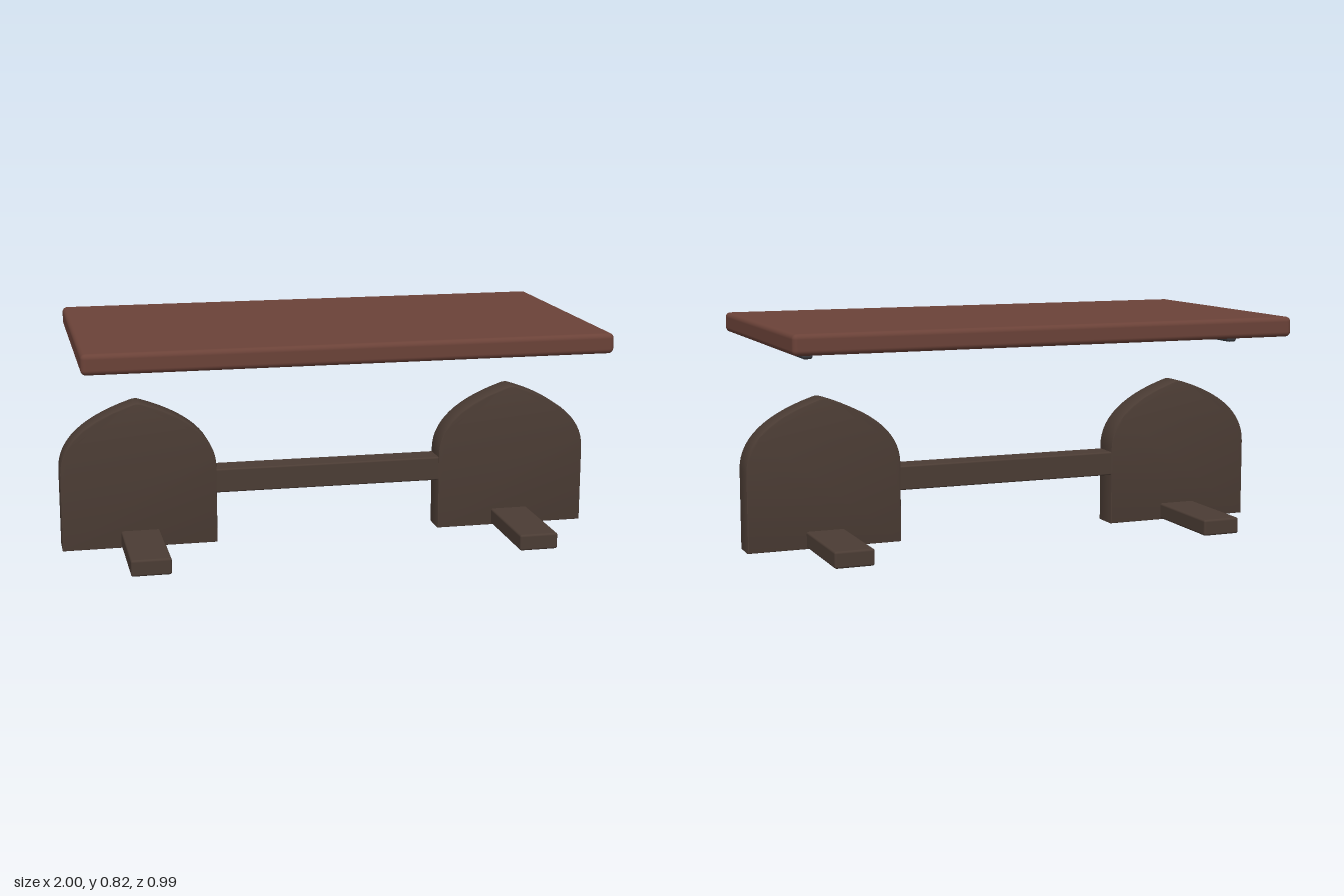
import * as THREE from 'three';
import { RoundedBoxGeometry } from 'three/addons/geometries/RoundedBoxGeometry.js';
import { toCreasedNormals } from 'three/addons/utils/BufferGeometryUtils.js';

const wood = new THREE.MeshStandardMaterial({ color: 0x6b4238 });
const darkWood = new THREE.MeshStandardMaterial({ color: 0x4b3c34 });
const metal = new THREE.MeshStandardMaterial({ color: 0x3c3d42 });

export function createModel() {
  const group = new THREE.Group();

  const add = (name, geometry, material, x, y, z) => {
    const mesh = new THREE.Mesh(geometry, material);
    mesh.name = name;
    mesh.position.set(x, y, z);
    group.add(mesh);
  };
  const box = (name, material, w, h, d, r, x, y) =>
    add(name, new RoundedBoxGeometry(w, h, d, 3, r), material, x, y, 0);

  // Table top and the long rail joining the two uprights
  box('tableTop', wood, 1.88, 0.073, 0.994, 0.018, 0, 0.782);
  box('stretcher', darkWood, 0.9, 0.09, 0.1, 0.006, 0, 0.235);

  // Pointed-arch outline of an upright, inset by the bevel
  const bevel = 0.004;
  const half = 0.287 - bevel;
  const apex = 0.543 - bevel;
  const arch = new THREE.Shape();
  arch.moveTo(-half, bevel);
  arch.lineTo(half, bevel);
  arch.lineTo(half, 0.29);
  arch.quadraticCurveTo(half, 0.45, 0.015, apex - 0.003);
  arch.quadraticCurveTo(0, apex + 0.002, -0.015, apex - 0.003);
  arch.quadraticCurveTo(-half, 0.45, -half, 0.29);
  const depth = 0.104 - 2 * bevel;
  const upright = toCreasedNormals(new THREE.ExtrudeGeometry(arch, {
    depth, bevelEnabled: true, bevelThickness: bevel, bevelSize: bevel, bevelSegments: 2, curveSegments: 14,
  }), 0.5);

  // Mirrored ends: upright, floor foot and cleat under the top
  for (const [side, s] of [['left', 1], ['right', -1]]) {
    add(side + 'Upright', upright, darkWood, s * 0.713, 0, -depth / 2);
    box(side + 'Foot', darkWood, 0.144, 0.06, 0.816, 0.008, s * 0.712, 0.034);
    box(side + 'Cleat', metal, 0.038, 0.046, 0.524, 0.01, s * 0.826, 0.732);
  }
  return group;
}
